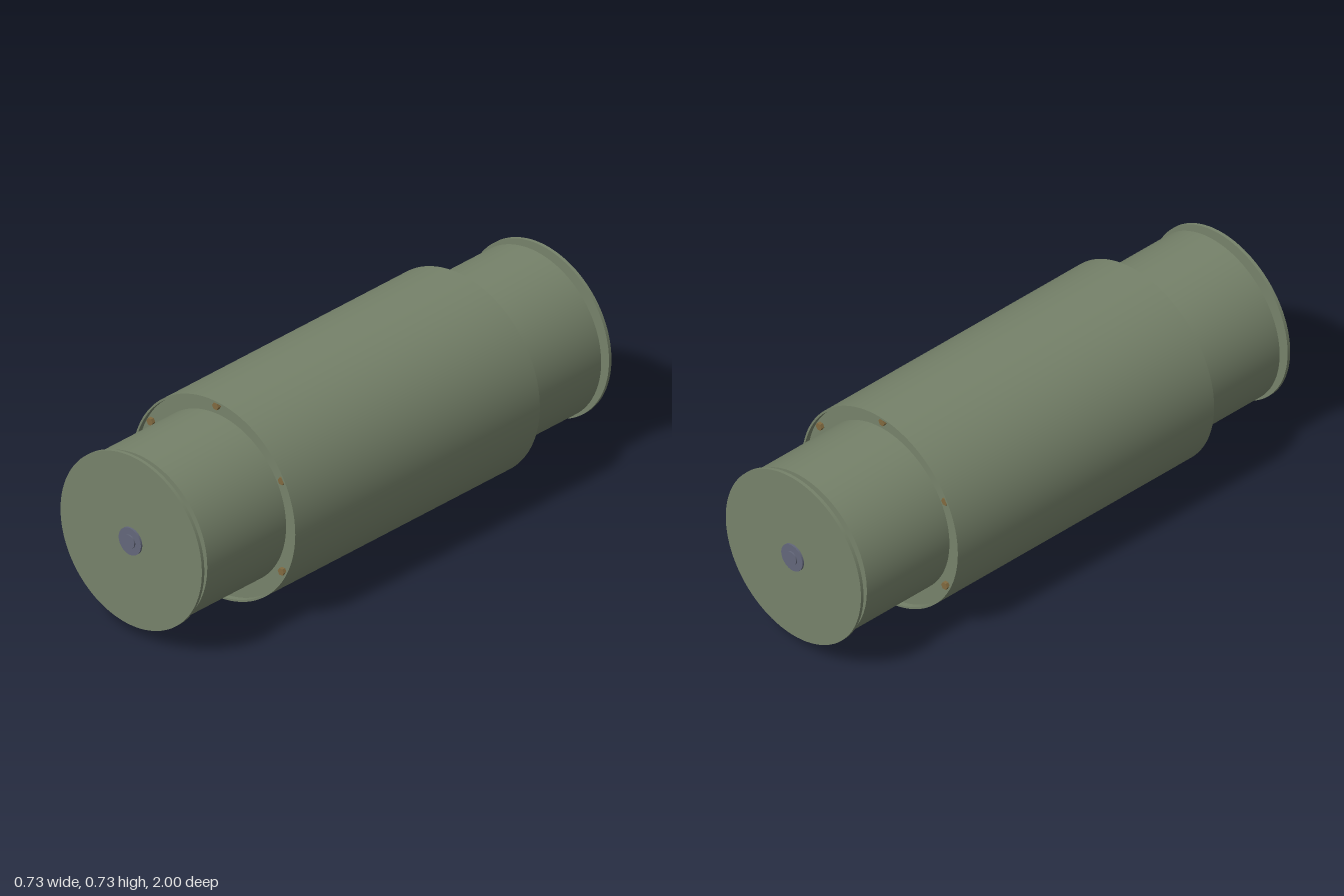
import * as THREE from 'three';
import { toCreasedNormals } from 'three/addons/utils/BufferGeometryUtils.js';

const AXIS_Y = 0.367;
const green = new THREE.MeshStandardMaterial({ color: 0x76826a });
const steel = new THREE.MeshStandardMaterial({ color: 0x63677a });
const brass = new THREE.MeshStandardMaterial({ color: 0x80693f });

// Turned part along z: profile as [radius, z], from back to front
function turned(name, profile, material, segments = 96) {
  const points = profile.map(([r, z]) => new THREE.Vector2(r, z));
  const geometry = new THREE.LatheGeometry(points, segments).rotateX(Math.PI / 2);
  const mesh = new THREE.Mesh(toCreasedNormals(geometry, 0.5), material);
  mesh.name = name;
  return mesh;
}

// Solid disc or rod between two z positions
function rod(name, radius, z0, z1, material, segments = 64) {
  const geometry = new THREE.CylinderGeometry(radius, radius, z1 - z0, segments)
    .rotateX(Math.PI / 2).translate(0, 0, (z0 + z1) / 2);
  const mesh = new THREE.Mesh(geometry, material);
  mesh.name = name;
  return mesh;
}

// Everything at one end of the drum, facing +z
function createEnd(name) {
  const end = new THREE.Group();
  end.name = name;
  end.add(turned('sleeve', [[0.307, 0.57], [0.307, 0.95], [0, 0.95]], green));
  end.add(rod('bearingPlate', 0.07, 0.948, 0.957, steel));
  end.add(rod('shaft', 0.025, 0.955, 1, steel, 48));
  end.add(rod('endDisc', 0.318, 0.976, 0.988, green, 96));
  end.add(rod('hub', 0.05, 0.968, 0.995, steel));

  // Ring of hex bolts inside the recessed flange
  for (let i = 0; i < 6; i++) {
    const angle = Math.PI / 6 + (i * Math.PI) / 3;
    const geometry = new THREE.CylinderGeometry(0.014, 0.014, 0.014, 6)
      .rotateY(Math.PI / 2).rotateX(Math.PI / 2);
    const bolt = new THREE.Mesh(toCreasedNormals(geometry, 0.3), brass);
    bolt.name = 'flangeBolt';
    bolt.position.set(0.341 * Math.cos(angle), 0.341 * Math.sin(angle), 0.576);
    end.add(bolt);
  }
  return end;
}

export function createModel() {
  const model = new THREE.Group();
  model.name = 'stepped drum';

  // Wide centre drum with a shallow recess inside a thin rim at each end
  model.add(turned('drum', [
    [0.307, -0.57], [0.36, -0.57], [0.36, -0.59], [0.367, -0.59],
    [0.367, 0.59], [0.36, 0.59], [0.36, 0.57], [0.307, 0.57],
  ], green));

  const front = createEnd('frontEnd');
  const back = createEnd('backEnd');
  back.rotation.y = Math.PI;
  model.add(front, back);

  model.children.forEach((part) => { part.position.y = AXIS_Y; });
  return model;
}
